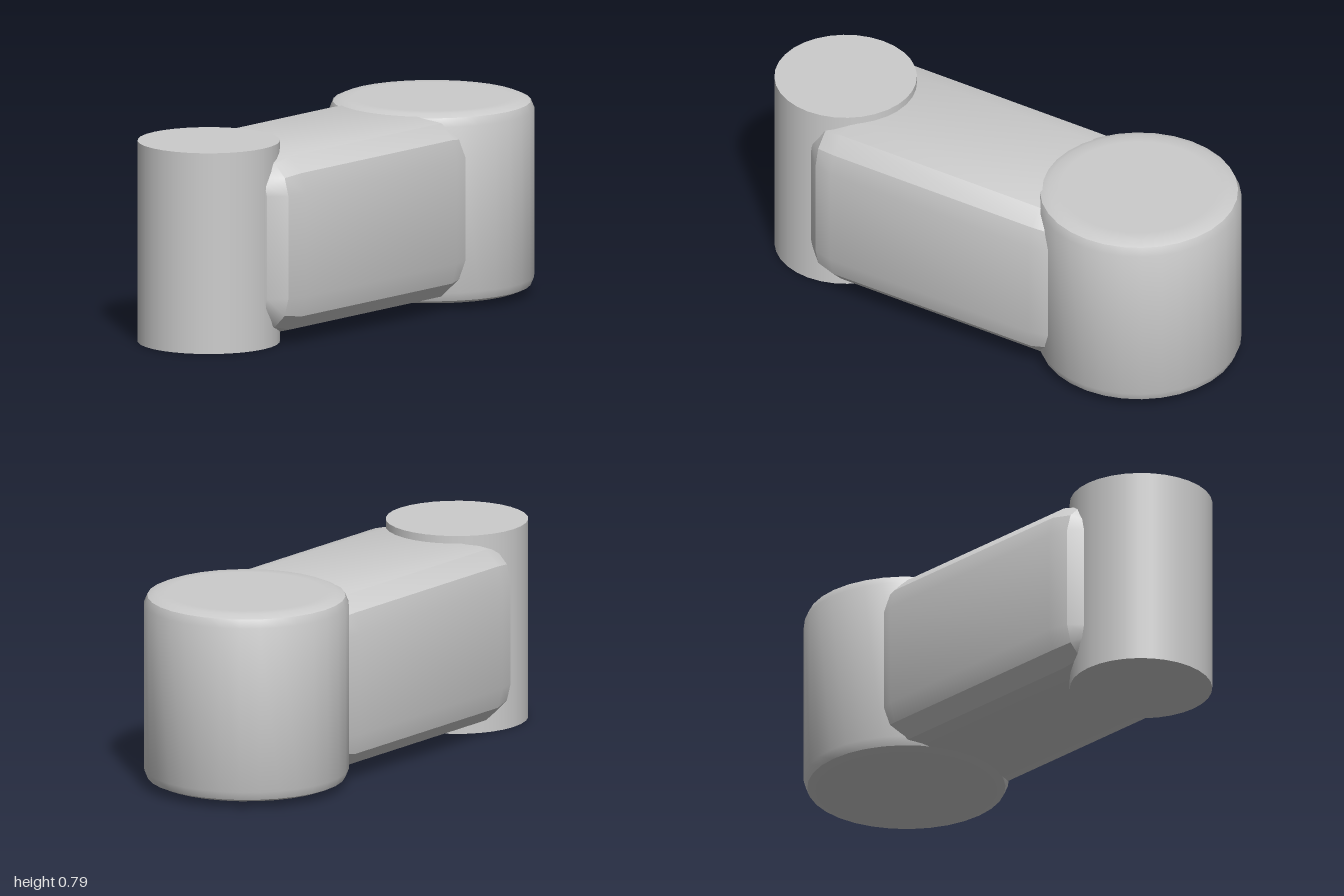
import * as THREE from 'three';
import { toCreasedNormals } from 'three/addons/utils/BufferGeometryUtils.js';

const CREASE = 0.45;

// Box with three-step rounded edges on every side, stacked from cross-sections along z
function filletedBar(width, height, length, radius, steps = 3) {
  const hx = width / 2 - radius, hy = height / 2 - radius, hz = length / 2 - radius;
  const corners = [[1, 1], [-1, 1], [-1, -1], [1, -1]];
  const perRing = corners.length * (steps + 1);
  const positions = [], index = [];
  const rings = 2 * (steps + 1);
  for (let j = 0; j < rings; j++) {
    const back = j <= steps;
    const tilt = (back ? j - steps : j - steps - 1) / steps * Math.PI / 2;
    const z = (back ? -hz : hz) + radius * Math.sin(tilt);
    const r = radius * Math.cos(tilt);
    corners.forEach(([sx, sy], c) => {
      for (let k = 0; k <= steps; k++) {
        const a = (c + k / steps) * Math.PI / 2;
        positions.push(sx * hx + r * Math.cos(a), sy * hy + r * Math.sin(a), z);
      }
    });
  }
  for (let j = 0; j < rings - 1; j++) {
    for (let i = 0; i < perRing; i++) {
      const a = j * perRing + i, b = j * perRing + (i + 1) % perRing;
      const c = a + perRing, d = b + perRing;
      index.push(a, b, d, a, d, c);
    }
  }
  // Flat ends
  const last = (rings - 1) * perRing;
  for (let i = 1; i < perRing - 1; i++) {
    index.push(0, i + 1, i, last, last + i, last + i + 1);
  }
  const geometry = new THREE.BufferGeometry();
  geometry.setAttribute('position', new THREE.Float32BufferAttribute(positions, 3));
  geometry.setIndex(index);
  return toCreasedNormals(geometry, CREASE);
}

// Upright drum with bevelled rims
function bevelledDrum(radius, bottom, top, bevel) {
  const mid = bevel * (1 - Math.SQRT1_2);
  const half = [[0, 0], [radius - 2 * bevel, 0], [radius - bevel, 0], [radius - mid, mid], [radius, bevel]];
  const profile = [
    ...half.map(([r, h]) => new THREE.Vector2(r, bottom + h)),
    ...half.reverse().map(([r, h]) => new THREE.Vector2(r, top - h)),
  ];
  return toCreasedNormals(new THREE.LatheGeometry(profile, 32), CREASE);
}

export function createModel() {
  const group = new THREE.Group();
  const grey = new THREE.MeshStandardMaterial({ color: 0xcccccc });
  grey.name = 'plain grey';

  const add = (name, geometry, x, y, z) => {
    const mesh = new THREE.Mesh(geometry, grey);
    mesh.name = name;
    mesh.position.set(x, y, z);
    group.add(mesh);
  };

  add('rearDrum', bevelledDrum(0.396, 0.022, 0.767, 0.047), 0, 0, -0.608);
  add('connectingBar', filletedBar(0.70, 0.722, 1.22, 0.16), 0.01, 0.396, 0.12);
  add('frontPin', new THREE.CylinderGeometry(0.275, 0.275, 0.787, 32), 0, 0.3935, 0.725);
  return group;
}
